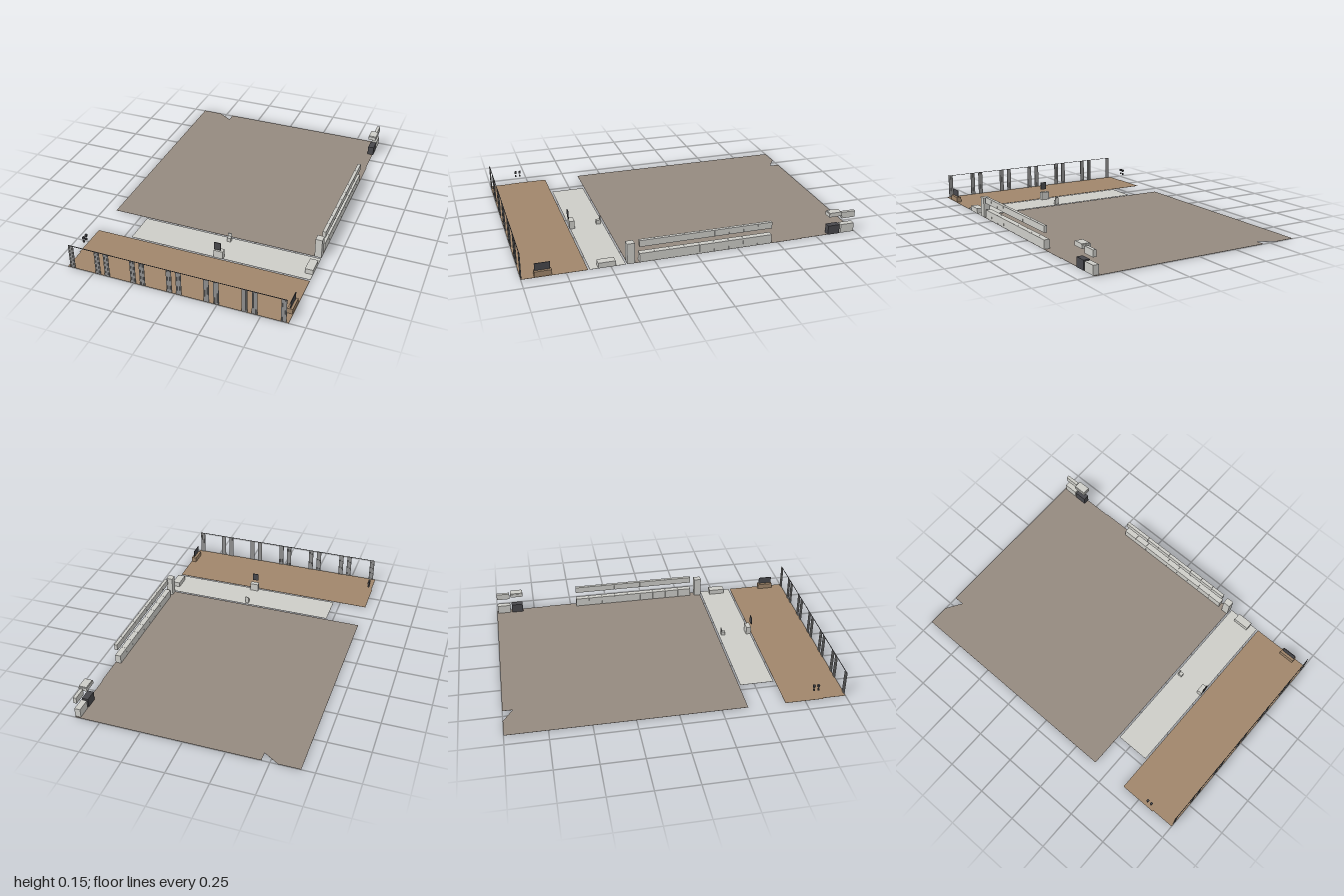
import * as THREE from 'three';

const mat = (name, color) => {
  const m = new THREE.MeshStandardMaterial({ color });
  m.name = name;
  return m;
};

export function createModel() {
  const root = new THREE.Group();
  root.name = 'floorLayout';
  const stone = mat('stoneFloor', 0x958a80);
  const wood = mat('woodFloor', 0xa0866b);
  const pale = mat('paleGrey', 0xcdcdc8);
  const dark = mat('darkScreen', 0x48484c);
  const fabric = mat('curtainGrey', 0x8e8e8e);

  // box given by its min and max on each axis
  const box = (name, material, x0, x1, y0, y1, z0, z1, parent = root) => {
    const m = new THREE.Mesh(new THREE.BoxGeometry(x1 - x0, y1 - y0, z1 - z0), material);
    m.position.set((x0 + x1) / 2, (y0 + y1) / 2, (z0 + z1) / 2);
    m.name = name;
    parent.add(m);
    return m;
  };

  // thin floor slab from an outline of [x, z] corners
  const slab = (name, material, points, y = 0.001) => {
    const shape = new THREE.Shape(points.map(([x, z]) => new THREE.Vector2(x, -z)));
    const g = new THREE.ExtrudeGeometry(shape, { depth: 0.001, bevelEnabled: false });
    g.rotateX(-Math.PI / 2);
    const m = new THREE.Mesh(g, material);
    m.position.y = y;
    m.name = name;
    root.add(m);
  };

  const group = (name) => {
    const g = new THREE.Group();
    g.name = name;
    root.add(g);
    return g;
  };

  // floors
  slab('mainFloor', stone, [
    [-0.672, 0.405], [0.656, 0.405], [0.656, -0.65], [0.652, -0.65], [0.652, -1],
    [-0.452, -1], [-0.452, -0.94], [-0.545, -1], [-0.672, -1],
  ]);
  slab('walkway', pale, [[-0.456, 0.62], [0.656, 0.62], [0.656, 0.415], [-0.456, 0.415]]);
  slab('woodFloor', wood, [
    [-0.666, 1], [0.656, 1], [0.656, 0.63], [-0.672, 0.63], [-0.672, 0.86], [-0.666, 0.86],
  ]);

  // half-round plate under the entrance
  const arc = [];
  for (let i = 0; i <= 16; i++) {
    const a = (i / 16) * Math.PI;
    arc.push([0.083 * Math.cos(a), 0.95 - 0.083 * Math.sin(a)]);
  }
  slab('entrancePlate', wood, arc, 0);

  // pleated curtains in six pairs, hung from a rail
  const curtains = group('curtains');
  for (let p = 0; p < 6; p++) {
    for (const offset of [0, 0.1625]) {
      const left = -0.649 + p * 0.2197 + offset;
      for (let s = 0; s < 4; s++) {
        const z = s % 2 ? 0.994 : 0.9965;
        box('curtainPleat', fabric, left + s * 0.0075, left + (s + 1) * 0.0075, 0.002, 0.151, z, z + 0.0035, curtains);
      }
    }
  }
  box('curtainRail', dark, -0.649, 0.645, 0.151, 0.1535, 0.995, 0.9985, curtains);

  // long run of base and wall cabinets
  const run = group('cabinetRun');
  const step = 0.0885;
  for (let i = 0; i < 9; i++) {
    const z1 = 0.335 - i * step;
    box('baseCabinet', pale, 0.62, 0.655, 0.002, 0.056, z1 - step + 0.001, z1, run);
    box('wallCabinet', pale, 0.635, 0.655, 0.097, 0.136, z1 - step + 0.001, z1, run);
  }
  box('tallCabinet', pale, 0.615, 0.656, 0.002, 0.125, 0.363, 0.408);

  // cooking corner at the back
  box('stove', dark, 0.618, 0.656, 0.002, 0.058, -0.898, -0.825);
  box('hoodBase', pale, 0.615, 0.665, 0.119, 0.14, -0.902, -0.82);
  box('hoodTop', pale, 0.618, 0.665, 0.14, 0.145, -0.897, -0.825);
  box('cornerBaseCabinet', pale, 0.62, 0.655, 0.002, 0.056, -0.992, -0.908);
  box('cornerWallCabinet', pale, 0.635, 0.655, 0.097, 0.136, -0.992, -0.908);

  // bench, desk with screen, and chair on the walkway
  box('bench', pale, 0.608, 0.656, 0.002, 0.033, 0.473, 0.572);
  box('desk', pale, 0.075, 0.13, 0.002, 0.052, 0.593, 0.624);
  box('deskScreen', dark, 0.081, 0.121, 0.066, 0.115, 0.625, 0.629);
  const chair = group('chair');
  box('chairSeat', pale, 0.089, 0.112, 0.002, 0.027, 0.43, 0.455, chair);
  box('chairBack', pale, 0.089, 0.112, 0.027, 0.047, 0.428, 0.434, chair);

  // media stand with a large screen
  box('mediaStand', wood, 0.622, 0.653, 0.002, 0.034, 0.828, 0.926);
  box('mediaScreen', dark, 0.637, 0.641, 0.036, 0.079, 0.835, 0.922);

  // small wall fittings on the opposite side
  const fittings = group('wallFittings');
  for (const z of [0.796, 0.823]) {
    box('upperFitting', dark, -0.659, -0.646, 0.08, 0.094, z, z + 0.013, fittings);
    box('lowerFitting', dark, -0.659, -0.648, 0.056, 0.068, z + 0.003, z + 0.011, fittings);
  }

  return root;
}
